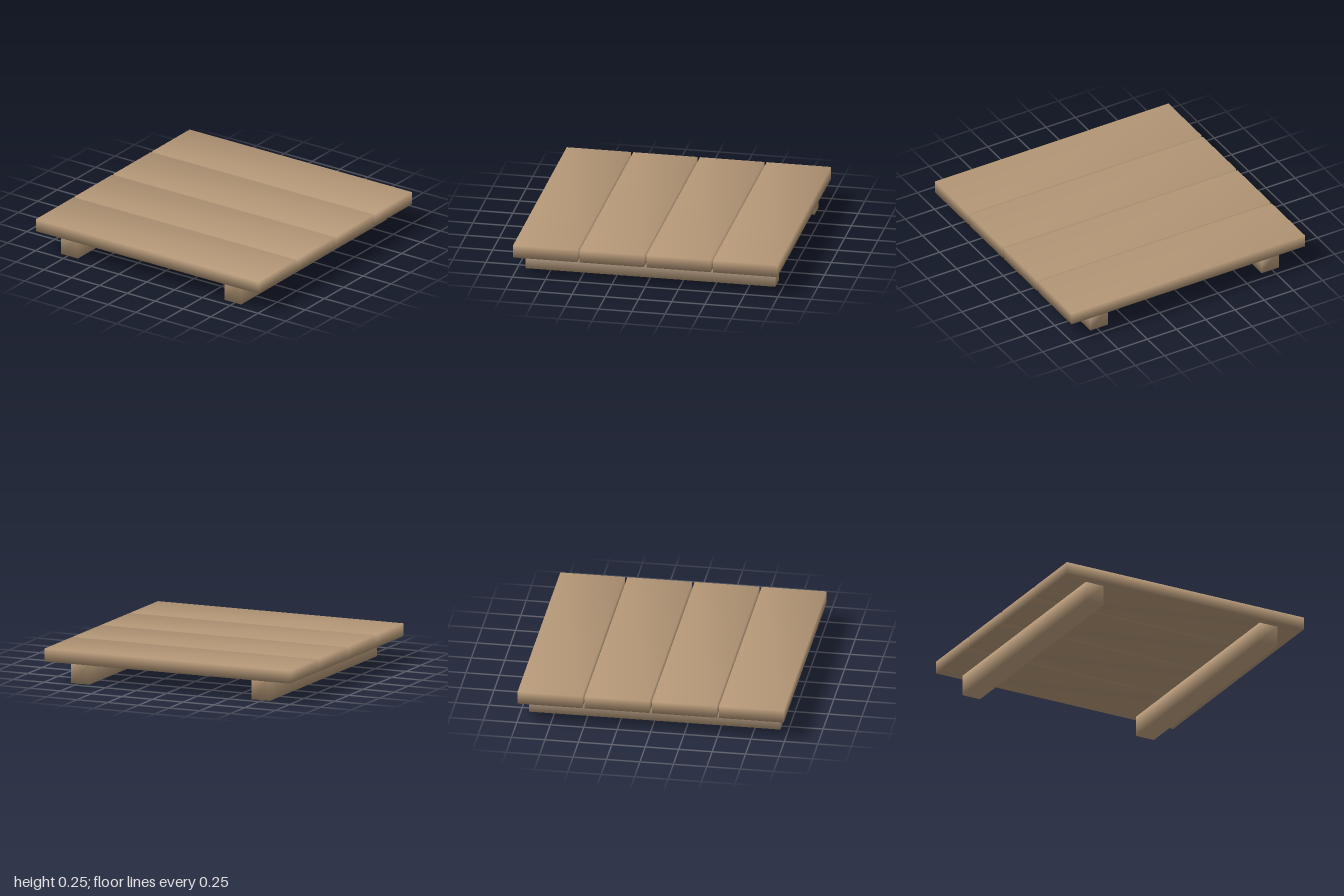
import * as THREE from 'three';
import { mergeVertices } from 'three/addons/utils/BufferGeometryUtils.js';

// Box whose corners share one normal, for soft shading across its edges
function softBox(w, h, d) {
  const g = new THREE.BoxGeometry(w, h, d);
  g.deleteAttribute('normal');
  g.deleteAttribute('uv');
  const merged = mergeVertices(g);
  merged.computeVertexNormals();
  return merged;
}

export function createModel() {
  const group = new THREE.Group();
  group.name = 'woodenPlatform';
  const wood = new THREE.MeshStandardMaterial({ color: 0xb39676 });
  wood.name = 'wood';

  const add = (name, geometry, x, y, z) => {
    const mesh = new THREE.Mesh(geometry, wood);
    mesh.name = name;
    mesh.position.set(x, y, z);
    group.add(mesh);
  };

  // Four deck planks with narrow gaps
  const plank = softBox(2, 0.096, 0.484);
  for (let i = 0; i < 4; i++) add(`plank${i + 1}`, plank, 0, 0.204, (i - 1.5) * 0.502);

  // Two support rails running front to back
  const rail = softBox(0.15, 0.156, 1.88);
  add('rightRail', rail, -0.735, 0.078, 0);
  add('leftRail', rail, 0.732, 0.078, 0);

  return group;
}
